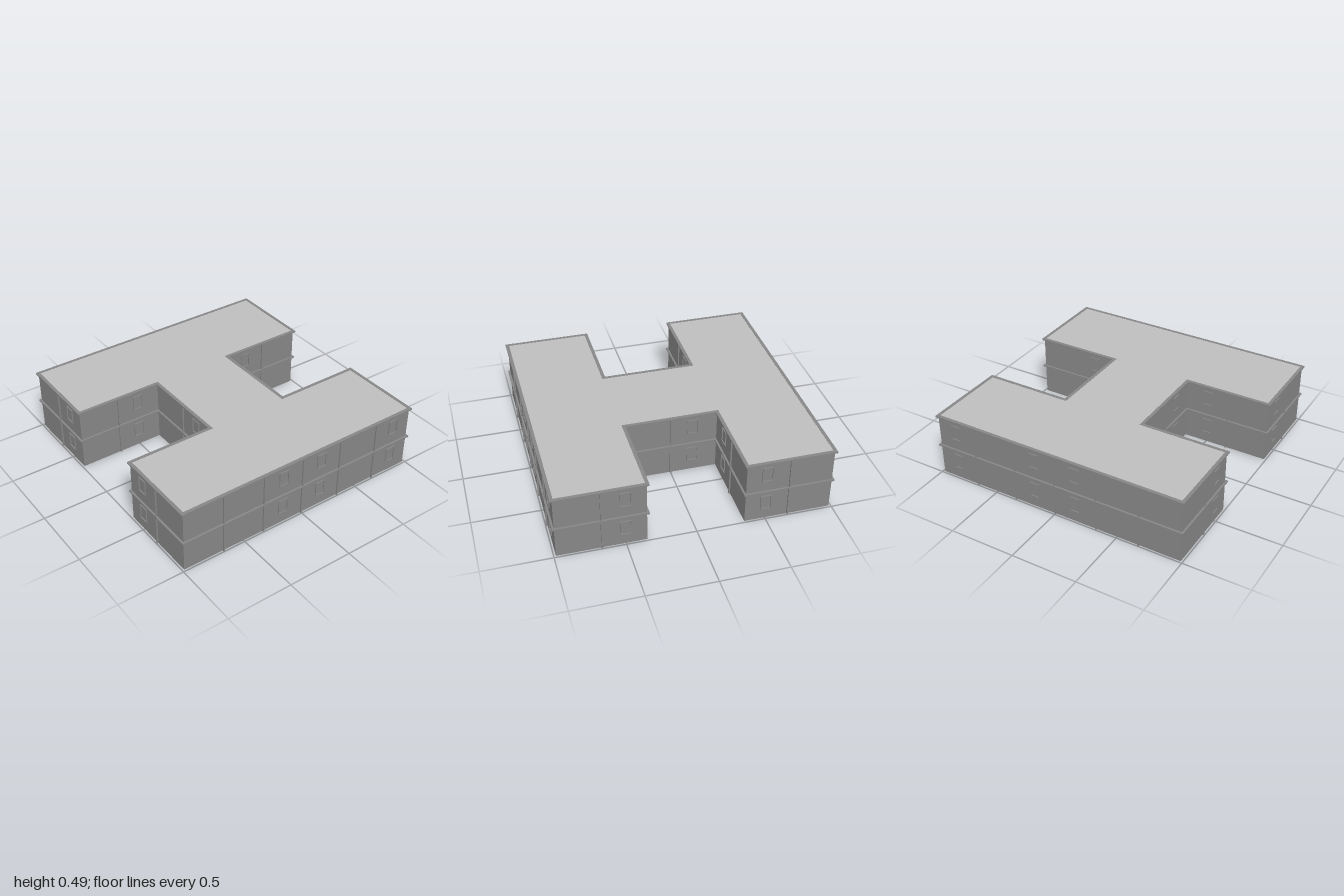
import * as THREE from 'three';

const HEIGHT = 0.49, STOREY = 0.245, WALL_INSET = 0.015, LEDGE = 0.012;

// H-shaped plan, inset by d, as [x, z] points
function plan(d) {
  const o = 1 - d, b = 0.335 + d, c = 0.335 - d;
  return [[-o, o], [-b, o], [-b, c], [b, c], [b, o], [o, o],
    [o, -o], [b, -o], [b, -c], [-b, -c], [-b, -o], [-o, -o]];
}
const outline = (d) => plan(d).map(([x, z]) => new THREE.Vector2(x, -z));

export function createModel() {
  const group = new THREE.Group();
  const roofMat = new THREE.MeshStandardMaterial({ color: 0xbebebe, side: THREE.DoubleSide });
  roofMat.name = 'light grey roof';
  const wallMat = new THREE.MeshStandardMaterial({ color: 0x878787, side: THREE.DoubleSide });
  wallMat.name = 'mid grey wall';

  const add = (name, geometry, material, x = 0, y = 0, z = 0, turn = 0) => {
    const mesh = new THREE.Mesh(geometry, material);
    mesh.name = name;
    mesh.position.set(x, y, z);
    mesh.rotation.y = turn;
    group.add(mesh);
    return mesh;
  };

  // Thin outer walls following the plan, open underneath
  const corners = plan(WALL_INSET);
  corners.forEach(([x, z], i) => {
    const [x2, z2] = corners[(i + 1) % corners.length];
    const length = Math.hypot(x2 - x, z2 - z);
    add('wall', new THREE.PlaneGeometry(length, HEIGHT - 0.005), wallMat,
      (x + x2) / 2, (HEIGHT - 0.005) / 2, (z + z2) / 2, Math.atan2(z - z2, x2 - x));
  });

  // Flat roof inside the upper ledge
  const roof = add('roof', new THREE.ShapeGeometry(new THREE.Shape(outline(0.025))), roofMat, 0, HEIGHT - 0.001, 0);
  roof.rotation.x = -Math.PI / 2;

  // Projecting ledge above each storey
  const ring = new THREE.Shape(outline(0));
  ring.holes.push(new THREE.Path(outline(0.025)));
  const ledgeGeo = new THREE.ExtrudeGeometry(ring, { depth: LEDGE, bevelEnabled: false });
  ledgeGeo.rotateX(-Math.PI / 2);
  for (const top of [STOREY, HEIGHT]) add('ledge', ledgeGeo, wallMat, 0, top - LEDGE, 0);

  // Window and panel joint positions as [x, z, turn]
  const outer = 1 - WALL_INSET, armX = 0.335 + WALL_INSET, barZ = 0.335 - WALL_INSET;
  const side = Math.PI / 2;
  const windows = [], joints = [];
  for (const s of [-1, 1]) {
    for (const t of [-1, 1]) {
      windows.push([s * 0.5, t * outer, 0], [s * armX, t * 0.5, side]);
      joints.push([s * 0.667, t * outer, 0], [s * armX, t * 0.667, side]);
    }
    windows.push([s * 0.165, s * barZ, 0]);
    joints.push([0, s * barZ, 0]);
    for (const z of [0.165, -0.165, -0.835]) windows.push([s * outer, z, side]);
    for (const z of [-0.667, -0.333, 0, 0.333, 0.667]) joints.push([s * outer, z, side]);
  }

  // Slim window surrounds, showing on both faces of the wall
  const rect = (Type, w, h) => new Type([[-w, -h], [w, -h], [w, h], [-w, h]]
    .map(([x, y]) => new THREE.Vector2(x / 2, y / 2)));
  const frame = rect(THREE.Shape, 0.078, 0.115);
  frame.holes.push(rect(THREE.Path, 0.07, 0.107));
  const frameGeo = new THREE.ExtrudeGeometry(frame, { depth: 0.016, bevelEnabled: false });
  frameGeo.translate(0, 0, -0.008);
  for (const [x, z, turn] of windows)
    for (const y of [0.142, 0.387]) add('windowFrame', frameGeo, wallMat, x, y, z, turn);

  // Narrow strips over the wall panel joints
  const stripGeo = new THREE.BoxGeometry(0.01, HEIGHT - LEDGE, 0.022);
  for (const [x, z, turn] of joints)
    add('jointStrip', stripGeo, wallMat, x, (HEIGHT - LEDGE) / 2, z, turn);

  return group;
}
